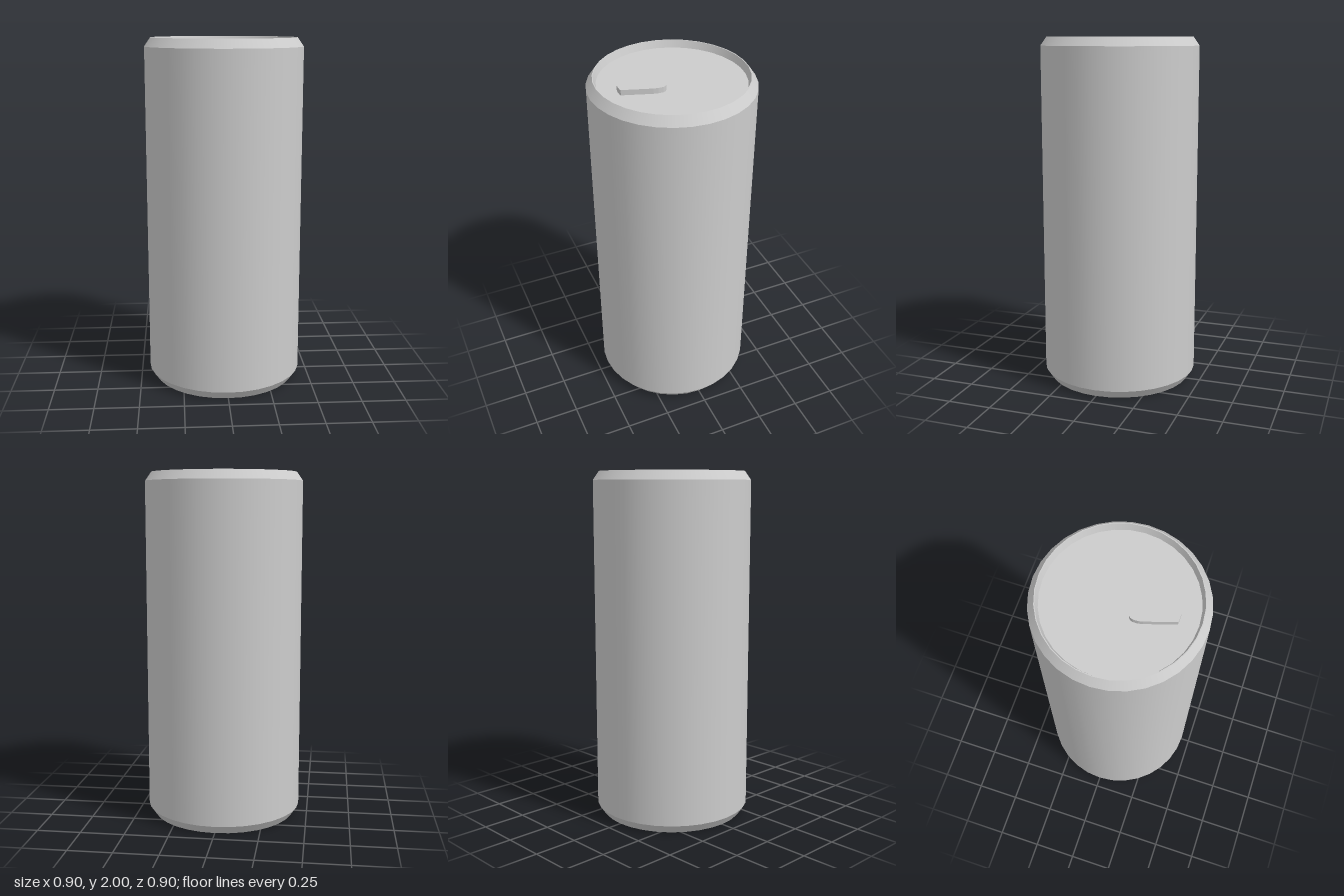
import * as THREE from 'three';
import { mergeGeometries } from 'three/addons/utils/BufferGeometryUtils.js';

const SIDES = 32;

// Lathe each profile segment on its own, so it is smooth around and sharp between bands
function creasedLathe(profile) {
  const bands = [];
  for (let i = 0; i < profile.length - 1; i++) {
    const pair = [profile[i], profile[i + 1]].map(([r, y]) => new THREE.Vector2(r, y));
    bands.push(new THREE.LatheGeometry(pair, SIDES));
  }
  return mergeGeometries(bands);
}

// Closed outline mirrored in x from half-points [x, z]
function mirrored(half) {
  const right = half.map(([x, z]) => new THREE.Vector2(x, -z));
  const left = half.map(([x, z]) => new THREE.Vector2(-x, -z)).reverse();
  return [...right, ...left];
}

export function createModel() {
  const aluminium = new THREE.MeshStandardMaterial({ color: 0xcccccc });
  aluminium.name = 'aluminium';

  const can = new THREE.Group();
  can.name = 'drinkCan';

  const add = (name, geometry) => {
    const mesh = new THREE.Mesh(geometry, aluminium);
    mesh.name = name;
    can.add(mesh);
    return mesh;
  };

  // Shell with sloped shoulders and thin rims
  add('base', creasedLathe([[0, 0.04], [0.397, 0.04], [0.41, 0], [0.415, 0], [0.45, 0.05]]));
  add('body', creasedLathe([[0.45, 0.05], [0.45, 1.95]]));
  add('topRim', creasedLathe([[0.45, 1.95], [0.415, 2], [0.41, 2], [0.397, 1.96]]));
  add('lid', creasedLathe([[0.397, 1.96], [0, 1.96]]));

  // Pull tab: tapered plate with a finger hole and a small front slot
  const outline = new THREE.Shape(mirrored([
    [0.057, 0.062], [0.069, 0.065], [0.079, 0.074], [0.084, 0.088],
    [0.084, 0.115], [0.079, 0.14], [0.031, 0.288], [0.028, 0.297], [0.022, 0.3],
  ]));
  outline.holes.push(
    new THREE.Path(mirrored([
      [0.052, 0.09], [0.064, 0.093], [0.072, 0.102], [0.075, 0.115],
      [0.073, 0.132], [0.067, 0.15], [0.042, 0.207],
    ])),
    new THREE.Path(mirrored([[0.037, 0.232], [0.023, 0.288], [0.017, 0.296]])),
  );
  const tabGeometry = new THREE.ExtrudeGeometry(outline, { depth: 0.03, bevelEnabled: false });
  tabGeometry.rotateX(-Math.PI / 2);
  add('pullTab', tabGeometry).position.set(0.005, 1.96, 0);

  return can;
}
